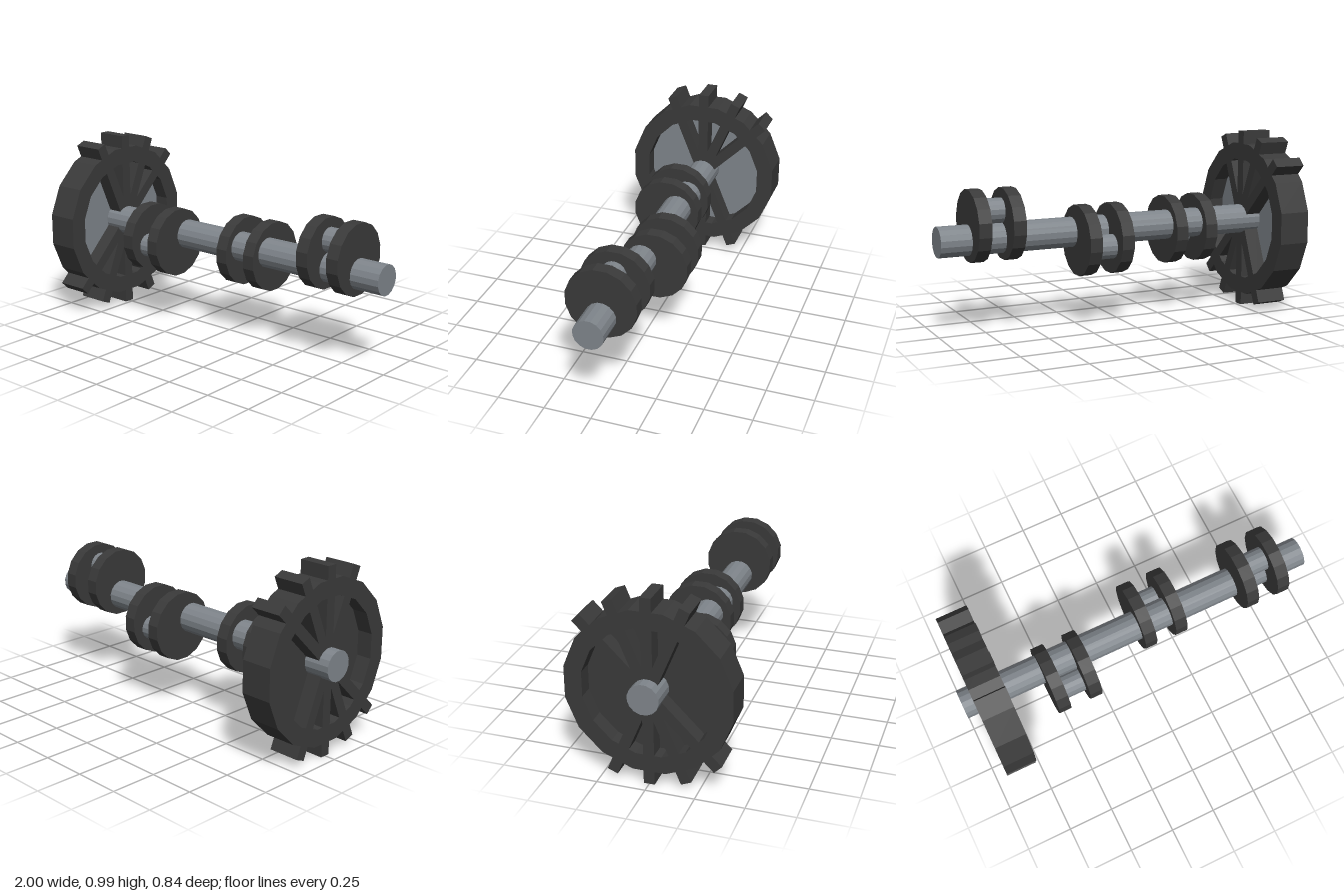
import * as THREE from 'three';

const SIDES = 16;
const AXIS_Y = 0.4925;

const steel = new THREE.MeshStandardMaterial({ name: 'steelGrey', color: 0x7f858b, flatShading: true });
const iron = new THREE.MeshStandardMaterial({ name: 'darkIron', color: 0x3a3a3a, flatShading: true });

// 16-sided cylinder along x with a flat facing straight up
function rod(name, radius, length, material, x, y = 0, z = 0) {
  const geometry = new THREE.CylinderGeometry(radius, radius, length, SIDES, 1, false, Math.PI / SIDES);
  geometry.rotateZ(Math.PI / 2);
  const mesh = new THREE.Mesh(geometry, material);
  mesh.name = name;
  mesh.position.set(x, y, z);
  return mesh;
}

function polygon(radius) {
  return Array.from({ length: SIDES }, (_, i) => {
    const a = ((i + 0.5) / SIDES) * Math.PI * 2;
    return new THREE.Vector2(Math.cos(a) * radius, Math.sin(a) * radius);
  });
}

function buildFlywheel() {
  const wheel = new THREE.Group();
  wheel.name = 'flywheel';
  const width = 0.17;

  // Outer ring
  const shape = new THREE.Shape(polygon(0.43));
  shape.holes.push(new THREE.Path(polygon(0.338).reverse()));
  const ringGeometry = new THREE.ExtrudeGeometry(shape, { depth: width, bevelEnabled: false });
  ringGeometry.translate(0, 0, -width / 2);
  ringGeometry.rotateY(Math.PI / 2);
  const ring = new THREE.Mesh(ringGeometry, iron);
  ring.name = 'flywheelRing';
  wheel.add(ring);

  // Bars across the wheel: spokes inside, teeth outside
  for (const degrees of [0, 22.5, -22.5, -45]) {
    const bar = new THREE.Mesh(new THREE.BoxGeometry(width, AXIS_Y * 2, 0.056), iron);
    bar.name = 'spokeBar';
    bar.rotation.x = THREE.MathUtils.degToRad(degrees);
    wheel.add(bar);
  }

  // Thin centre plate, steel on the shaft side and iron on the outer side
  for (const [side, material] of [[1, steel], [-1, iron]]) {
    const plate = new THREE.Mesh(new THREE.CircleGeometry(0.34, SIDES, Math.PI / SIDES), material);
    plate.name = side > 0 ? 'innerPlate' : 'outerPlate';
    plate.rotation.y = (side * Math.PI) / 2;
    plate.position.x = side * 0.002;
    wheel.add(plate);
  }

  wheel.position.x = -0.855;
  return wheel;
}

// Two round webs joined by an offset pin
function buildThrow(x, degrees) {
  const group = new THREE.Group();
  group.name = 'crankThrow';
  const a = THREE.MathUtils.degToRad(degrees);
  const up = Math.cos(a);
  const forward = Math.sin(a);
  for (const side of [-1, 1]) {
    group.add(rod('crankWeb', 0.188, 0.068, iron, x + side * 0.091, up * 0.072, forward * 0.072));
  }
  group.add(rod('crankPin', 0.065, 0.15, steel, x, up * 0.142, forward * 0.142));
  return group;
}

export function createModel() {
  const model = new THREE.Group();
  model.name = 'crankshaft';
  const assembly = new THREE.Group();
  assembly.name = 'shaftAssembly';
  assembly.position.y = AXIS_Y;
  model.add(assembly);

  assembly.add(rod('mainShaft', 0.08, 2, steel, 0));
  assembly.add(buildFlywheel());

  // Three throws spaced a third of a turn apart
  for (const [x, degrees] of [[-0.429, 120], [0.139, 240], [0.711, 0]]) {
    assembly.add(buildThrow(x, degrees));
  }
  return model;
}
